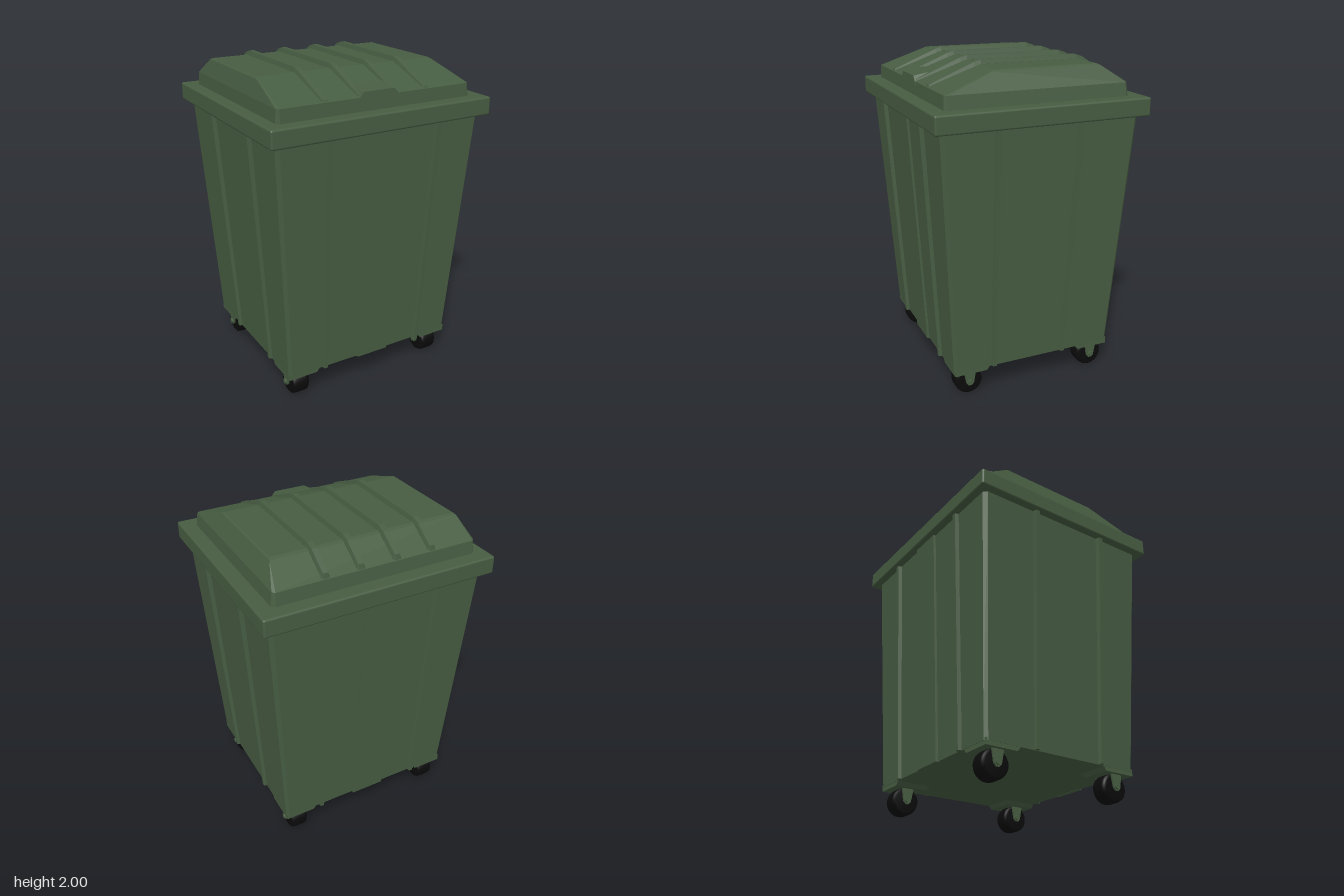
import * as THREE from 'three';
import { ConvexGeometry } from 'three/addons/geometries/ConvexGeometry.js';
import { RoundedBoxGeometry } from 'three/addons/geometries/RoundedBoxGeometry.js';

const green = new THREE.MeshStandardMaterial({ color: 0x475d42 });
green.name = 'binGreen';
const black = new THREE.MeshStandardMaterial({ color: 0x0b0b0b });
black.name = 'tyreBlack';

// Solid block wrapped around a handful of corner points
const hull = (pts) => new ConvexGeometry(pts.map((p) => new THREE.Vector3(...p)));

// Rectangle at height y with cut corners
function ring(y, x0, x1, z0, z1, c) {
  return [
    [x0 + c, y, z0], [x1 - c, y, z0], [x1, y, z0 + c], [x1, y, z1 - c],
    [x1 - c, y, z1], [x0 + c, y, z1], [x0, y, z1 - c], [x0, y, z0 + c],
  ];
}

function add(parent, name, geometry, material = green) {
  const mesh = new THREE.Mesh(geometry, material);
  mesh.name = name;
  parent.add(mesh);
  return mesh;
}

const BOTTOM = 0.185, TOP = 1.7;

// Raised upright strip on a wall, with slightly sloping flanks.
// Each level: [y, buried distance, outer distance, min, max]; place(u, d) gives x and z.
function wallStrip(levels, slope, place) {
  const pts = [];
  for (const [y, dIn, dOut, u0, u1] of levels) {
    for (const [u, d] of [[u0, dIn], [u0 + slope, dOut], [u1 - slope, dOut], [u1, dIn]]) {
      const [x, z] = place(u, d);
      pts.push([x, y, z]);
    }
  }
  return hull(pts);
}

function buildBody() {
  const body = new THREE.Group();
  body.name = 'body';
  // Tapered tub
  add(body, 'tub', hull([
    ...ring(BOTTOM, -0.586, 0.586, -0.524, 0.524, 0.018),
    ...ring(TOP, -0.677, 0.677, -0.609, 0.609, 0.022),
  ]));

  for (const s of [1, -1]) {
    const end = s > 0 ? 'front' : 'back';
    const side = s > 0 ? 'left' : 'right';
    const onEnd = (u, d) => [u, s * d];
    const onSide = (u, d) => [s * d, u];

    // Pair of ribs on the front and back, with a broad strip between them
    for (const m of [1, -1]) {
      add(body, end + 'Rib', wallStrip([
        [BOTTOM, 0.514, 0.545, 0.322, 0.362],
        [TOP, 0.599, 0.633, 0.345, 0.392],
      ], 0.009, (u, d) => onEnd(m * u, d)));
    }
    add(body, end + 'CentreStrip', wallStrip([
      [BOTTOM - 0.002, 0.514, 0.538, -0.112, 0.112],
      [TOP, 0.599, 0.623, -0.112, 0.112],
    ], 0.004, onEnd));

    // Pair of ribs on each side
    for (const [b0, b1, t0, t1] of [[0.25, 0.29, 0.257, 0.303], [-0.212, -0.172, -0.254, -0.21]]) {
      add(body, side + 'Rib', wallStrip([
        [BOTTOM + 0.003, 0.576, 0.606, b0, b1],
        [TOP, 0.667, 0.703, t0, t1],
      ], 0.009, onSide));
    }
  }

  // Overhanging rim
  const rim = add(body, 'rim', new RoundedBoxGeometry(1.45, 0.11, 1.31, 2, 0.012));
  rim.position.y = 1.732;
  return body;
}

function buildLid() {
  const lid = new THREE.Group();
  lid.name = 'lid';
  // Domed cover with sloping front, back and ends
  add(lid, 'cover', hull([
    ...ring(1.78, -0.648, 0.635, -0.564, 0.568, 0.02),
    ...ring(1.865, -0.643, 0.622, -0.555, 0.563, 0.015),
    [-0.615, 1.965, -0.4], [0.565, 1.965, -0.4],
    [-0.615, 1.965, 0.27], [0.565, 1.965, 0.27],
    [-0.605, 1.974, -0.38], [0.553, 1.974, -0.38],
    [-0.605, 1.974, 0.25], [0.553, 1.974, 0.25],
  ]));

  // Ribs running front to back
  const profile = [
    [0.558, 1.85], [0.55, 1.878], [0.28, 1.988], [0.24, 2],
    [-0.37, 2], [-0.42, 1.983], [-0.545, 1.898], [-0.555, 1.85],
  ];
  for (const x of [-0.352, -0.125, 0.102, 0.315]) {
    const pts = [];
    for (const [z, y] of profile) {
      pts.push([x - 0.016, y, z], [x + 0.016, y, z]);
      pts.push([x - 0.024, y - 0.025, z], [x + 0.024, y - 0.025, z]);
    }
    add(lid, 'lidRib', hull(pts));
  }

  // Hand grip between the middle ribs, blending into the slope
  add(lid, 'grip', hull([
    [-0.15, 1.85, 0.565], [0.13, 1.85, 0.565], [-0.115, 1.895, 0.562], [0.09, 1.895, 0.562],
    [-0.115, 1.917, 0.435], [0.09, 1.917, 0.435], [-0.15, 1.87, 0.43], [0.13, 1.87, 0.43],
  ]));
  return lid;
}

function buildCaster(sx, sz) {
  const caster = new THREE.Group();
  caster.name = 'caster';
  const x = sx * 0.49, z = sz > 0 ? 0.415 : -0.425;

  // Corner foot under the tub, sloped on its inner edges
  const foot = (y, inX, inZ) => [
    [inX, y, inZ], [0.584, y, inZ], [inX, y, 0.521], [0.584, y, 0.521],
  ].map(([a, b, c]) => [a * sx, b, c * sz]);
  add(caster, 'foot', hull([...foot(0.16, 0.395, 0.315), ...foot(0.2, 0.365, 0.285)]));

  // Wheel with softened tread edges
  const tread = [[0, -0.055], [0.07, -0.055], [0.082, -0.047], [0.086, -0.03],
    [0.086, 0.03], [0.082, 0.047], [0.07, 0.055], [0, 0.055]];
  const wheel = add(caster, 'wheel',
    new THREE.LatheGeometry(tread.map((p) => new THREE.Vector2(...p)), 32), black);
  wheel.rotation.z = Math.PI / 2;
  wheel.position.set(x, 0.086, z);

  // Fork arms and axle
  for (const s of [-1, 1]) {
    const a = x + s * 0.058, b = x + s * 0.07;
    add(caster, 'forkArm', hull([a, b].flatMap((px) => [
      [px, 0.17, z - 0.04], [px, 0.17, z + 0.04], [px, 0.08, z - 0.024],
      [px, 0.08, z + 0.024], [px, 0.064, z - 0.01], [px, 0.064, z + 0.01],
    ])));
  }
  const axle = add(caster, 'axle', new THREE.CylinderGeometry(0.017, 0.017, 0.16, 12));
  axle.rotation.z = Math.PI / 2;
  axle.position.set(x, 0.088, z);
  return caster;
}

export function createModel() {
  const bin = new THREE.Group();
  bin.name = 'wheeledBin';
  bin.add(buildBody(), buildLid());
  for (const sx of [-1, 1]) for (const sz of [-1, 1]) bin.add(buildCaster(sx, sz));
  return bin;
}
